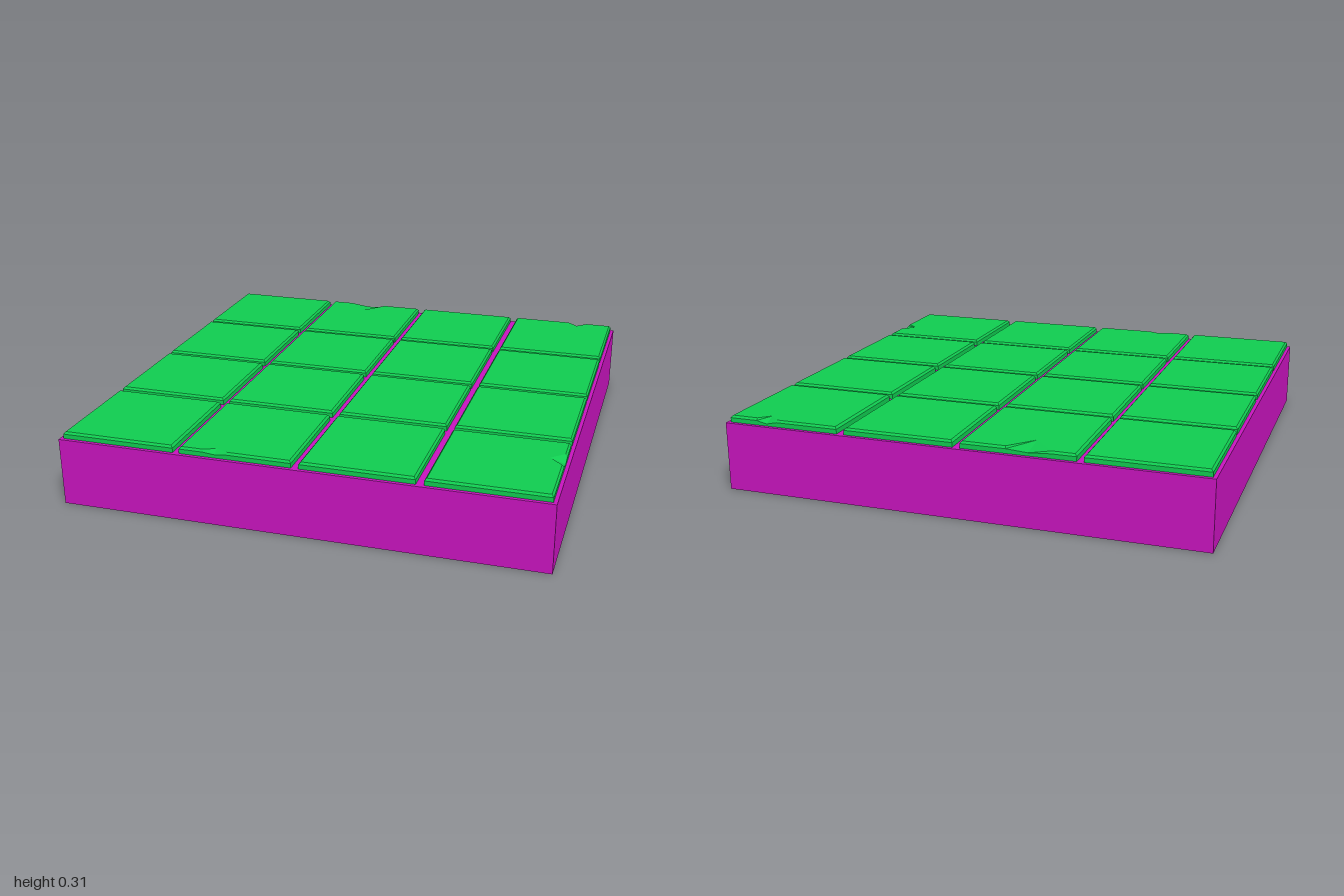
import * as THREE from 'three';

const BASE_H = 0.285, SHOULDER = 0.304, TOP = 0.313, BEVEL = 0.008;

// tile extents along one axis, used for both columns (x) and rows (z)
const SPANS = [[-0.985, -0.507], [-0.48, -0.015], [0.015, 0.475], [0.507, 0.985]];

// worn edges: side 0 front, 1 right end (+x), 2 back, 3 left end (-x); at = place along that edge
const CHIPS = [
  { col: 3, row: 0, side: 2, at: 0.82, depth: 0.05, width: 0.045, drop: 0.01 },
  { col: 1, row: 0, side: 2, at: -0.29, depth: 0.11, width: 0.09, drop: 0.006 },
  { col: 3, row: 3, side: 1, at: 0.67, depth: 0.06, width: 0.05, drop: 0.012 },
  { col: 1, row: 3, side: 0, at: -0.33, depth: 0.03, width: 0.05, drop: 0.005 },
];

// bevelled slab from three stacked outlines, with sloped facets where it is chipped
function tileGeometry([x0, x1], [z0, z1], chips) {
  const corners = [[x0, z1], [x1, z1], [x1, z0], [x0, z0]];
  const normals = [[0, 1], [1, 0], [0, -1], [-1, 0]];
  const cx = (x0 + x1) / 2, cz = (z0 + z1) / 2;
  const low = [], mid = [], top = [];
  const add = (x, z, tx, tz, drop = 0) => {
    low.push([x, BASE_H - 0.005, z]);
    mid.push([x, SHOULDER - drop, z]);
    top.push([tx, TOP, tz]);
  };
  corners.forEach(([x, z], side) => {
    add(x, z, x - Math.sign(x - cx) * BEVEL, z - Math.sign(z - cz) * BEVEL);
    const [nx, nz] = normals[side];
    const dir = side === 0 || side === 3 ? 1 : -1;
    for (const c of chips.filter((chip) => chip.side === side)) {
      for (const k of [-1, 0, 1]) {
        const at = c.at + dir * k * c.width;
        const px = nx ? x : at, pz = nx ? at : z;
        const inset = k === 0 ? c.depth : BEVEL;
        add(px, pz, px - nx * inset, pz - nz * inset, k === 0 ? c.drop : 0);
      }
    }
  });

  const pos = [];
  const tri = (...points) => points.forEach((p) => pos.push(...p));
  const n = low.length;
  for (let i = 0; i < n; i++) {
    const j = (i + 1) % n;
    for (const [a, b] of [[low, mid], [mid, top]]) {
      tri(a[i], a[j], b[j]);
      tri(a[i], b[j], b[i]);
    }
    tri([cx, TOP, cz], top[i], top[j]);
  }
  const geo = new THREE.BufferGeometry();
  geo.setAttribute('position', new THREE.Float32BufferAttribute(pos, 3));
  geo.computeVertexNormals();
  return geo;
}

export function createModel() {
  const model = new THREE.Group();
  model.name = 'tiledFloorBlock';

  // base slab
  const base = new THREE.Mesh(
    new THREE.BoxGeometry(2, BASE_H, 2),
    new THREE.MeshStandardMaterial({ color: 0xc814be })
  );
  base.name = 'baseSlab';
  base.position.y = BASE_H / 2;
  model.add(base);

  // four by four grid of tiles
  const tileMaterial = new THREE.MeshStandardMaterial({ color: 0x10cc50, flatShading: true });
  const tiles = new THREE.Group();
  tiles.name = 'tiles';
  SPANS.forEach((xSpan, col) => SPANS.forEach((zSpan, row) => {
    const chips = CHIPS.filter((c) => c.col === col && c.row === row);
    const tile = new THREE.Mesh(tileGeometry(xSpan, zSpan, chips), tileMaterial);
    tile.name = `tile${row + 1}x${col + 1}`;
    tiles.add(tile);
  }));
  model.add(tiles);
  return model;
}
